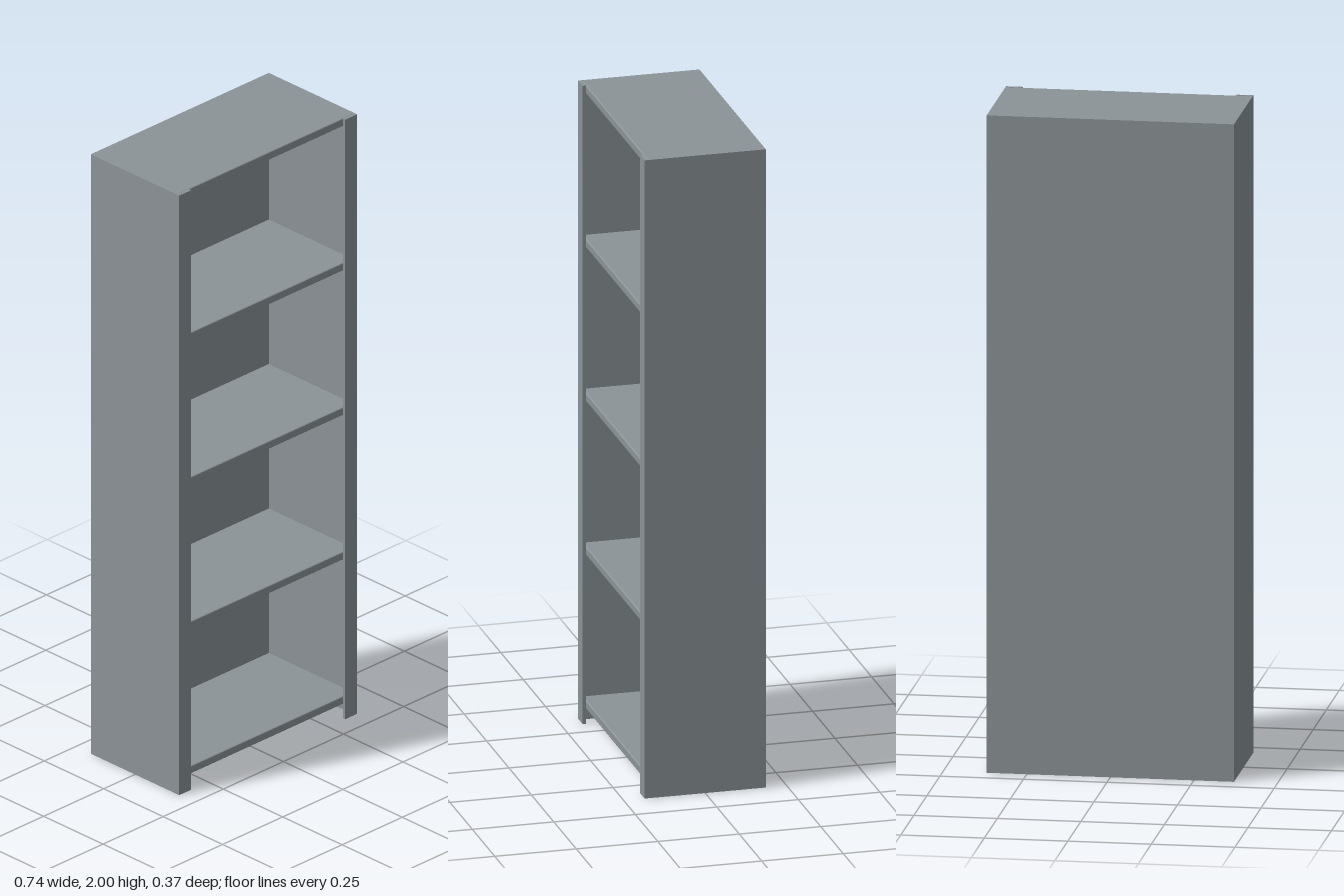
import * as THREE from 'three';

const H = 2, W = 0.37, BACK = -0.186, FRONT = 0.186;
const T = 0.01;            // sheet thickness
const LIP = 0.32;          // inner x of the front flanges
const SHELF = 0.026;       // shelf thickness

export function createModel() {
  const group = new THREE.Group();
  const steel = new THREE.MeshStandardMaterial({ color: 0x8c9497 });
  steel.name = 'greySteel';

  // Casing: C-shaped plan (back, sides, front flanges) extruded upwards
  const half = [[W, BACK], [W, FRONT], [LIP, FRONT], [LIP, FRONT - T], [W - T, FRONT - T], [W - T, BACK + T]];
  const plan = [...half, ...half.map(([x, z]) => [-x, z]).reverse()];
  const casingShape = new THREE.Shape(plan.map(([x, z]) => new THREE.Vector2(x, -z)));
  const casingGeo = new THREE.ExtrudeGeometry(casingShape, { depth: H, bevelEnabled: false });
  casingGeo.rotateX(-Math.PI / 2);
  const casing = new THREE.Mesh(casingGeo, steel);
  casing.name = 'casing';
  group.add(casing);

  // Shelf: side profile with rounded front edges, extruded across the width
  const r = 0.004, zb = BACK + T, zf = FRONT - T;
  const profile = new THREE.Shape();
  profile.moveTo(-zb, 0);
  profile.lineTo(-zb, SHELF);
  profile.lineTo(-zf + r, SHELF);
  profile.absarc(-zf + r, SHELF - r, r, Math.PI / 2, Math.PI, false);
  profile.lineTo(-zf, r);
  profile.absarc(-zf + r, r, r, Math.PI, Math.PI * 1.5, false);
  profile.closePath();
  const shelfWidth = 2 * (W - T);
  const shelfGeo = new THREE.ExtrudeGeometry(profile, { depth: shelfWidth, bevelEnabled: false, curveSegments: 5 });
  shelfGeo.translate(0, 0, -shelfWidth / 2);
  shelfGeo.rotateY(Math.PI / 2).rotateY(0);
  // profile x runs towards -z after the turn

  // Five evenly spaced levels; the highest closes the top
  const first = 0.046, step = (H - SHELF - first) / 4;
  for (let i = 0; i < 5; i++) {
    const shelf = new THREE.Mesh(shelfGeo, steel);
    shelf.name = i === 4 ? 'topPanel' : `shelf${i + 1}`;
    shelf.position.y = first + i * step;
    group.add(shelf);
  }
  return group;
}
